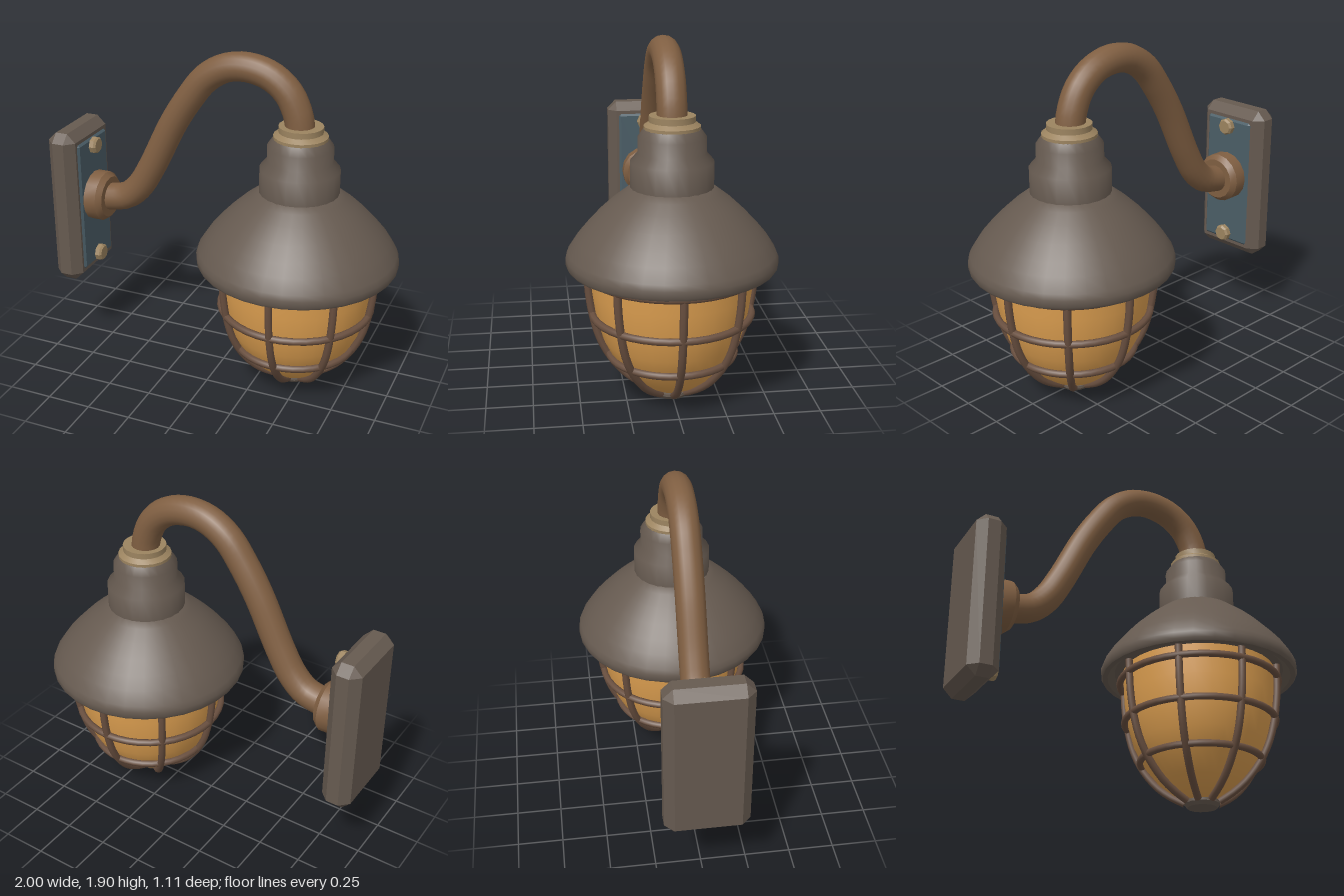
import * as THREE from 'three';
import { toCreasedNormals } from 'three/addons/utils/BufferGeometryUtils.js';
import { ConvexGeometry } from 'three/addons/geometries/ConvexGeometry.js';

const material = (name, color) => Object.assign(new THREE.MeshStandardMaterial({ color }), { name });

export function createModel() {
  const darkIron = material('dark iron', 0x665a50);
  const copper = material('copper pipe', 0x805f42);
  const cageMetal = material('cage bronze', 0x6a5040);
  const brass = material('pale brass', 0x9c8460);
  const amber = material('amber glass', 0xdd9f50);
  const slate = material('slate blue', 0x4b5e67);

  const model = new THREE.Group();
  model.name = 'wallLantern';
  const lantern = new THREE.Group();
  lantern.name = 'lantern';
  lantern.position.x = 0.44;
  model.add(lantern);

  const add = (parent, name, geometry, mat, x = 0, y = 0, z = 0) => {
    const mesh = new THREE.Mesh(geometry, mat);
    mesh.name = name;
    mesh.position.set(x, y, z);
    parent.add(mesh);
    return mesh;
  };
  const vectors = (list) => list.map(([x, y]) => new THREE.Vector2(x, y));
  // Turned part from a smooth or creased profile of [radius, height], bottom to top
  const turned = (profile, segments = 32, crease = 0.5) =>
    toCreasedNormals(new THREE.LatheGeometry(vectors(profile), segments), crease);

  // Box with every edge chamfered
  const chamferBox = (w, h, d, c) => {
    const points = [];
    for (const x of [-w / 2, w / 2]) for (const y of [-h / 2, h / 2]) for (const z of [-d / 2, d / 2]) {
      const sx = Math.sign(x) * c, sy = Math.sign(y) * c, sz = Math.sign(z) * c;
      points.push(
        new THREE.Vector3(x, y - sy, z - sz),
        new THREE.Vector3(x - sx, y, z - sz),
        new THREE.Vector3(x - sx, y - sy, z));
    }
    return new ConvexGeometry(points);
  };

  // Wall mount
  add(model, 'wallPlate', chamferBox(0.17, 0.92, 0.45, 0.05), darkIron, -0.915, 0.9);
  add(model, 'insetPlate', chamferBox(0.04, 0.78, 0.32, 0.012), slate, -0.838, 0.9);
  for (const side of [-1, 1]) {
    const bolt = turned([[0, 0], [0.035, 0], [0.035, 0.012], [0.05, 0.012], [0.05, 0.038], [0.04, 0.05], [0, 0.05]], 8);
    add(model, 'bolt', bolt, brass, -0.83, 0.9 + side * 0.345).rotation.z = -Math.PI / 2;
  }
  const flange = turned([[0, 0], [0.145, 0], [0.145, 0.08], [0.12, 0.11], [0, 0.11]], 16);
  add(model, 'pipeFlange', flange, copper, -0.825, 0.935).rotation.z = -Math.PI / 2;

  // Swan-neck pipe
  const pipePath = new THREE.CatmullRomCurve3([
    [-0.73, 0.935], [-0.605, 0.965], [-0.52, 1.04], [-0.44, 1.17], [-0.3, 1.45], [-0.2, 1.61],
    [-0.1, 1.735], [0.015, 1.805], [0.135, 1.822], [0.265, 1.79], [0.365, 1.71], [0.42, 1.6], [0.438, 1.5],
  ].map(([x, y]) => new THREE.Vector3(x, y, 0)));
  add(model, 'pipe', new THREE.TubeGeometry(pipePath, 48, 0.079, 16), copper);

  // Collar, neck and shade
  add(lantern, 'collar', turned([
    [0.147, 1.46], [0.147, 1.49], [0.12, 1.51], [0.12, 1.542], [0, 1.542],
  ], 20), brass);
  add(lantern, 'neck', turned([
    [0.217, 1.15], [0.217, 1.305], [0.178, 1.35], [0.178, 1.43], [0.147, 1.474], [0, 1.474],
  ], 24, 0.8), darkIron);
  add(lantern, 'shade', turned([
    [0, 0.785], [0.48, 0.785], [0.52, 0.75], [0.548, 0.75], [0.557, 0.765], [0.557, 0.8], [0.545, 0.83],
    [0.5, 0.9], [0.45, 0.96], [0.385, 1.03], [0.315, 1.095], [0.25, 1.145], [0.205, 1.18], [0, 1.18],
  ], 32, 0.7), darkIron);

  // Amber glass bowl
  const bowl = [[0, 0.02], [0.08, 0.035], [0.16, 0.08], [0.235, 0.14], [0.315, 0.24], [0.37, 0.35],
    [0.405, 0.48], [0.425, 0.62], [0.432, 0.79]];
  add(lantern, 'glassBowl', turned(bowl, 32, 0.8), amber);

  // Cage of eight ribs, three hoops and an end cap
  const ribPath = new THREE.CatmullRomCurve3(bowl.slice(1).map(([r, y]) => new THREE.Vector3(r + 0.016, y - 0.004, 0)));
  const ribGeometry = new THREE.TubeGeometry(ribPath, 20, 0.021, 8);
  for (let i = 0; i < 8; i++) add(lantern, 'cageRib', ribGeometry, cageMetal).rotation.y = (i * Math.PI) / 4;
  for (const [radius, y] of [[0.45, 0.717], [0.423, 0.484], [0.337, 0.256]]) {
    add(lantern, 'cageHoop', new THREE.TorusGeometry(radius, 0.02, 8, 40), cageMetal, 0, y).rotation.x = Math.PI / 2;
  }
  add(lantern, 'endCap', turned([[0, 0], [0.082, 0], [0.098, 0.02], [0.098, 0.035], [0, 0.05]], 16), darkIron);

  return model;
}
